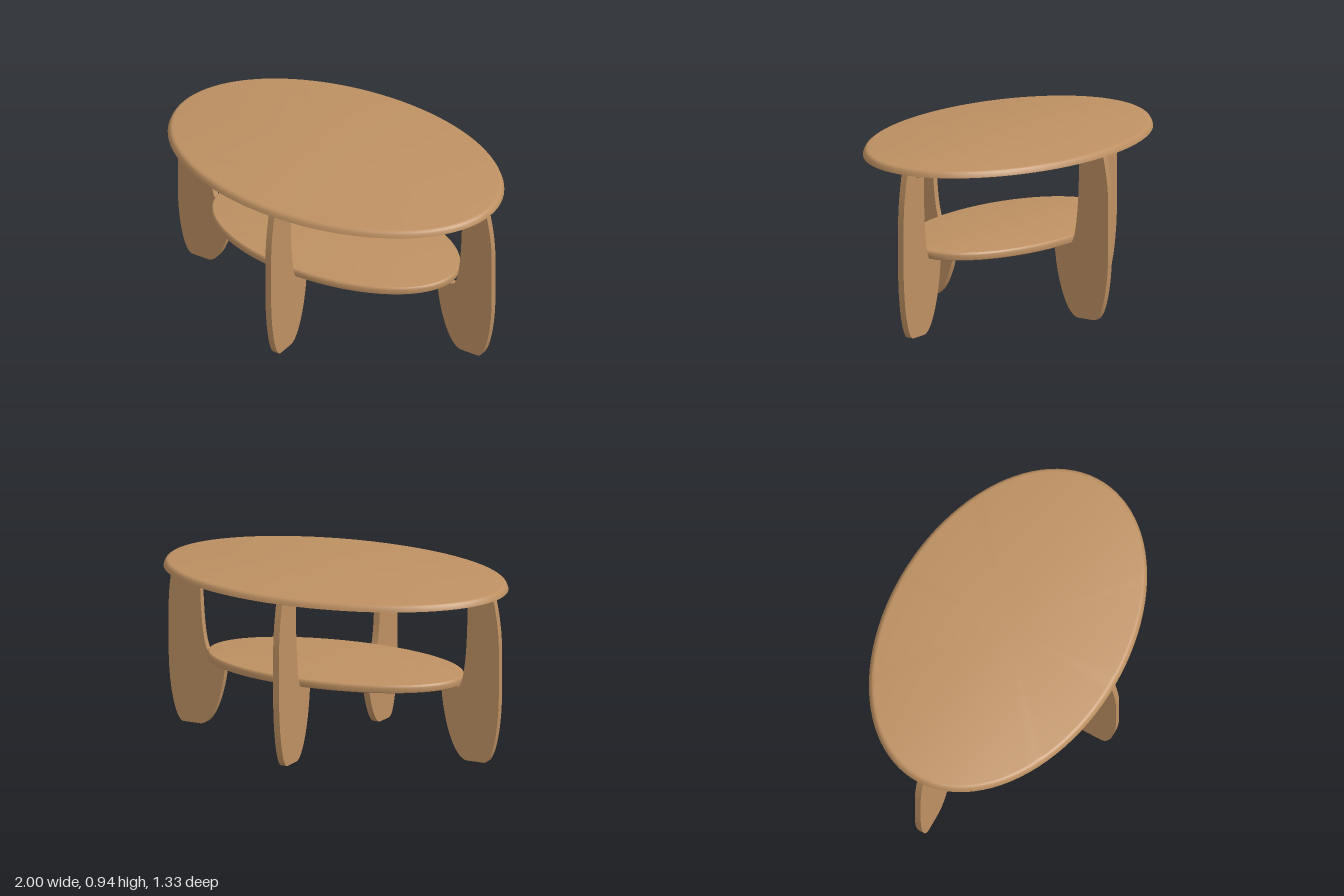
import * as THREE from 'three';
import { toCreasedNormals } from 'three/addons/utils/BufferGeometryUtils.js';

const wood = new THREE.MeshStandardMaterial({ color: 0xbd9062 });
wood.name = 'oak wood';

function part(name, geometry) {
  const mesh = new THREE.Mesh(geometry, wood);
  mesh.name = name;
  return mesh;
}

// Oval board: profile is [inset from rim, height], the inset staying even all round
function ovalBoard(name, rx, rz, profile) {
  const points = profile.map(([inset, y]) => new THREE.Vector2(rx - inset, y));
  points.unshift(new THREE.Vector2(0, profile[0][1]));
  points.push(new THREE.Vector2(0, profile[profile.length - 1][1]));
  const geo = new THREE.LatheGeometry(points, 96);
  const pos = geo.attributes.position;
  for (let i = 0; i < pos.count; i++) {
    const r = Math.hypot(pos.getX(i), pos.getZ(i));
    if (r > 0.01) pos.setZ(i, pos.getZ(i) * (rz - rx + r) / r);
  }
  return part(name, toCreasedNormals(geo, 0.6));
}

// Leg outline: x is measured from the outermost edge (0) inward (negative)
function legGeometry() {
  const s = new THREE.Shape();
  s.moveTo(-0.195, 0);
  s.lineTo(-0.09, 0);
  s.bezierCurveTo(-0.035, 0.005, 0, 0.22, 0, 0.38);
  s.lineTo(0, 0.64);
  s.bezierCurveTo(0, 0.74, -0.018, 0.84, -0.034, 0.91);
  s.lineTo(-0.19, 0.91);
  s.bezierCurveTo(-0.186, 0.68, -0.205, 0.4, -0.25, 0.4);
  s.lineTo(-0.34, 0.4);
  s.lineTo(-0.348, 0.4);
  s.bezierCurveTo(-0.34, 0.22, -0.275, 0.005, -0.195, 0);
  const geo = new THREE.ExtrudeGeometry(s, { depth: 0.036, bevelEnabled: false, curveSegments: 16 });
  geo.translate(0, 0, -0.018);
  return toCreasedNormals(geo, 0.5);
}

// Triangular gusset in the corner between leg and top
function gussetGeometry(size, width) {
  const s = new THREE.Shape();
  s.moveTo(0, 0);
  s.lineTo(0, -size);
  s.lineTo(size, 0);
  const geo = new THREE.ExtrudeGeometry(s, { depth: width, bevelEnabled: false });
  geo.translate(0, 0, -width / 2);
  geo.rotateY(Math.PI / 2);
  return geo;
}

export function createModel() {
  const table = new THREE.Group();
  table.name = 'coffeeTable';

  const top = ovalBoard('tabletop', 0.985, 0.65, [
    [0, 0.908], [0.001, 0.912], [0.006, 0.925], [0.012, 0.935], [0.02, 0.941], [0.03, 0.943],
  ]);
  const shelf = ovalBoard('lowerShelf', 0.745, 0.42, [
    [0.006, 0.4], [0.001, 0.404], [0, 0.412], [0, 0.428], [0.003, 0.437], [0.008, 0.442], [0.014, 0.443],
  ]);
  top.position.x = shelf.position.x = -0.004;
  table.add(top, shelf);

  // Four legs; side is where the bracket sits along the leg's local z
  const legGeo = legGeometry();
  const cheekGeo = gussetGeometry(0.037, 0.016);
  const webGeo = gussetGeometry(0.028, 0.012);
  const legs = [
    ['leftLeg', 0, 1, -1],
    ['backLeg', Math.PI / 2, 0.665, 1],
    ['rightLeg', Math.PI, 1, 1],
    ['frontLeg', -Math.PI / 2, 0.665, -1],
  ];
  for (const [name, angle, reach, side] of legs) {
    const leg = new THREE.Group();
    leg.name = name;
    const panel = part(name + 'Panel', legGeo);
    panel.position.x = reach;
    leg.add(panel);

    const bracket = new THREE.Group();
    bracket.name = name + 'Bracket';
    for (const dx of [-0.013, 0.013]) {
      const cheek = part('bracketCheek', cheekGeo);
      cheek.position.x = dx;
      bracket.add(cheek);
    }
    bracket.add(part('bracketWeb', webGeo));
    bracket.position.set(reach - 0.14, 0.909, side * 0.017);
    bracket.rotation.y = side < 0 ? 0 : Math.PI;
    leg.add(bracket);

    leg.rotation.y = angle;
    table.add(leg);
  }
  return table;
}
